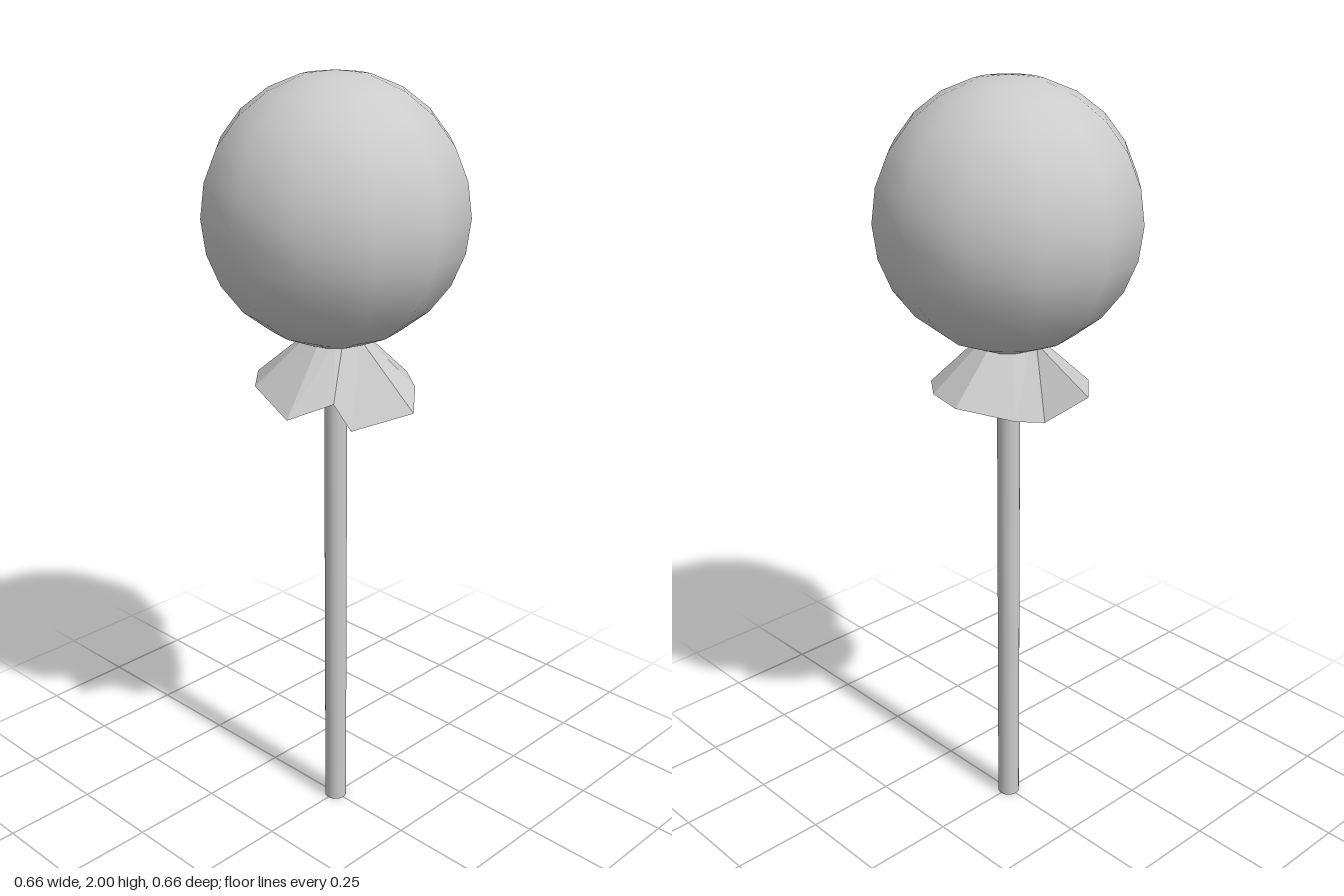
import * as THREE from 'three';

const grey = (options = {}) => new THREE.MeshStandardMaterial({ color: 0xcccccc, ...options });

function addPart(group, name, geometry, material) {
  const mesh = new THREE.Mesh(geometry, material);
  mesh.name = name;
  group.add(mesh);
  return mesh;
}

// Crumpled skirt: a small neck ring joined to an uneven hem
function skirtGeometry(hem, neckRadius, neckY) {
  const neck = hem.map(([x, , z]) => {
    const a = Math.atan2(z, x);
    return [neckRadius * Math.cos(a), neckY, neckRadius * Math.sin(a)];
  });
  const positions = [];
  hem.forEach((p, i) => {
    const j = (i + 1) % hem.length;
    positions.push(...neck[i], ...hem[j], ...p, ...neck[i], ...neck[j], ...hem[j]);
  });
  const geometry = new THREE.BufferGeometry();
  geometry.setAttribute('position', new THREE.Float32BufferAttribute(positions, 3));
  geometry.computeVertexNormals();
  return geometry;
}

export function createModel() {
  const group = new THREE.Group();
  group.name = 'lollipop';

  // Round candy
  const candy = addPart(group, 'candy', new THREE.SphereGeometry(0.33, 12, 12), grey());
  candy.position.y = 1.67;

  // Stick, reaching up into the candy
  const stick = addPart(group, 'stick', new THREE.CylinderGeometry(0.03, 0.03, 1.4, 12), grey());
  stick.position.y = 0.7;

  // Wrapper hem, listed around the stick from the left side towards the front
  const hem = [
    [0.14, 1.165, 0.09],
    [0.11, 1.235, 0.12],
    [0.04, 1.2, 0.21],
    [-0.115, 1.24, 0.17],
    [-0.2, 1.24, 0.08],
    [-0.13, 1.175, 0.0],
    [-0.12, 1.2, -0.09],
    [-0.03, 1.24, -0.205],
    [0.08, 1.24, -0.18],
    [0.165, 1.235, -0.115],
    [0.227, 1.2, -0.04],
  ];
  addPart(group, 'wrapper', skirtGeometry(hem, 0.075, 1.36),
    grey({ flatShading: true, side: THREE.DoubleSide }));

  return group;
}
